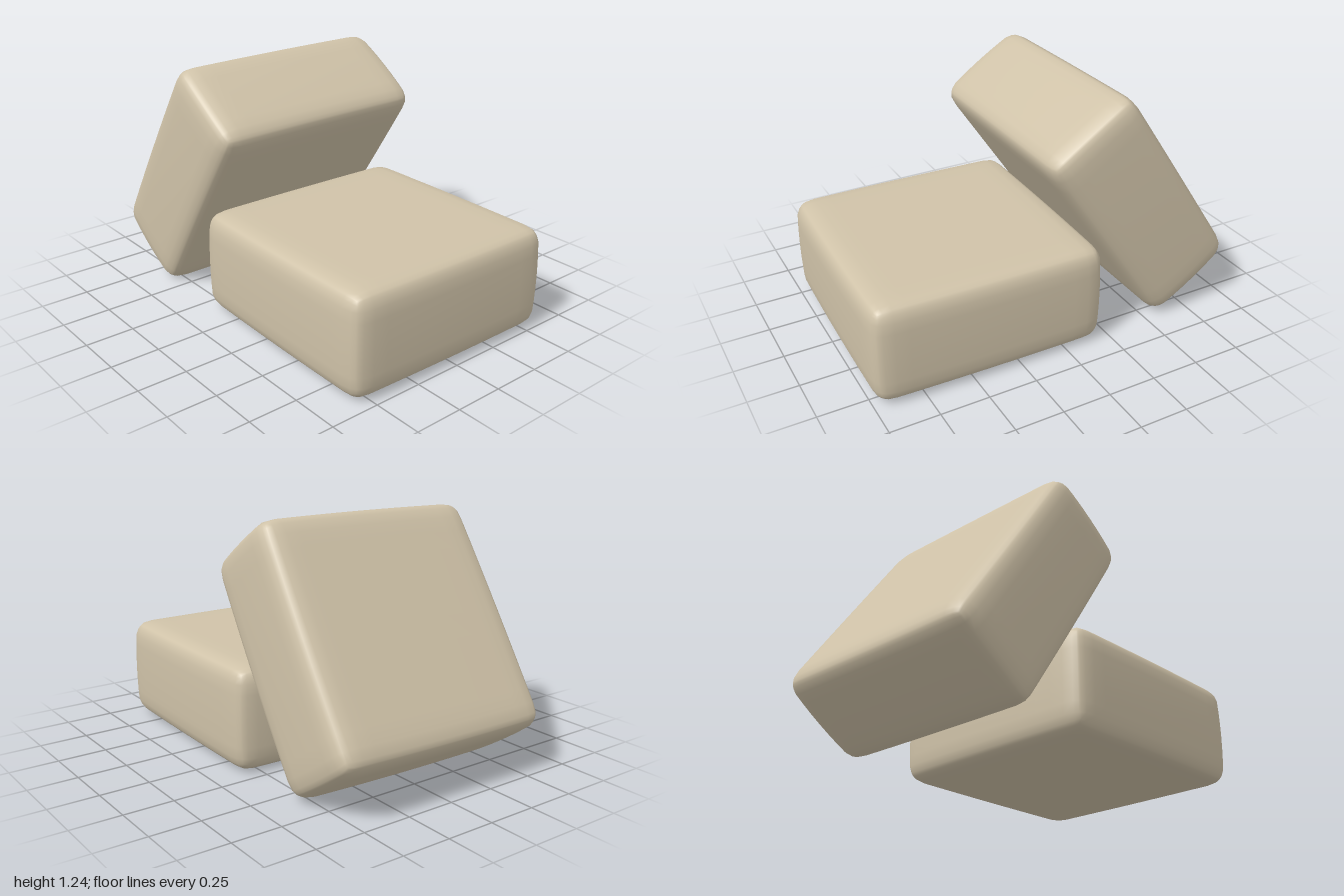
import * as THREE from 'three';
import { mergeVertices } from 'three/addons/utils/BufferGeometryUtils.js';

const HALF = new THREE.Vector3(0.61, 0.265, 0.61);
const RADIUS = 0.085;

// Soft-edged block whose four sides swell slightly outward
function blockGeometry() {
  let geo = new THREE.BoxGeometry(2, 2, 2, 16, 12, 16);
  const pos = geo.attributes.position;
  const p = new THREE.Vector3();
  const core = new THREE.Vector3();
  const limit = HALF.clone().subScalar(RADIUS);
  const low = limit.clone().negate();
  const ease = (t) => Math.sin(t * Math.PI / 2); // crowd rows near the edges
  for (let i = 0; i < pos.count; i++) {
    p.fromBufferAttribute(pos, i);
    p.set(ease(p.x), ease(p.y), ease(p.z)).multiply(HALF);
    core.copy(p).clamp(low, limit);
    p.sub(core).setLength(RADIUS).add(core);
    const u = p.x / HALF.x, v = p.y / HALF.y, w = p.z / HALF.z;
    p.x *= 1 - 0.015 * v * v - 0.012 * w * w;
    p.z *= 1 - 0.015 * v * v - 0.012 * u * u;
    pos.setXYZ(i, p.x, p.y, p.z);
  }
  geo.deleteAttribute('normal');
  geo.deleteAttribute('uv');
  geo = mergeVertices(geo, 1e-5);
  geo.computeVertexNormals();
  return geo;
}

export function createModel() {
  const group = new THREE.Group();
  group.name = 'stoneBlocks';
  const stone = new THREE.MeshStandardMaterial({ color: 0xcfc2a8 });
  stone.name = 'paleStone';
  const geo = blockGeometry();

  const addBlock = (name, position, yaw, tilt) => {
    const mesh = new THREE.Mesh(geo, stone);
    mesh.name = name;
    mesh.position.set(...position);
    mesh.rotation.set(0, yaw, tilt, 'ZYX');
    group.add(mesh);
  };

  // Block lying flat, and the second one leaning on its edge
  addBlock('lyingBlock', [0.38, 0.27, -0.012], -0.018, 0);
  addBlock('leaningBlock', [-0.464, 0.63, 0.01], -0.013, 0.982);
  return group;
}
